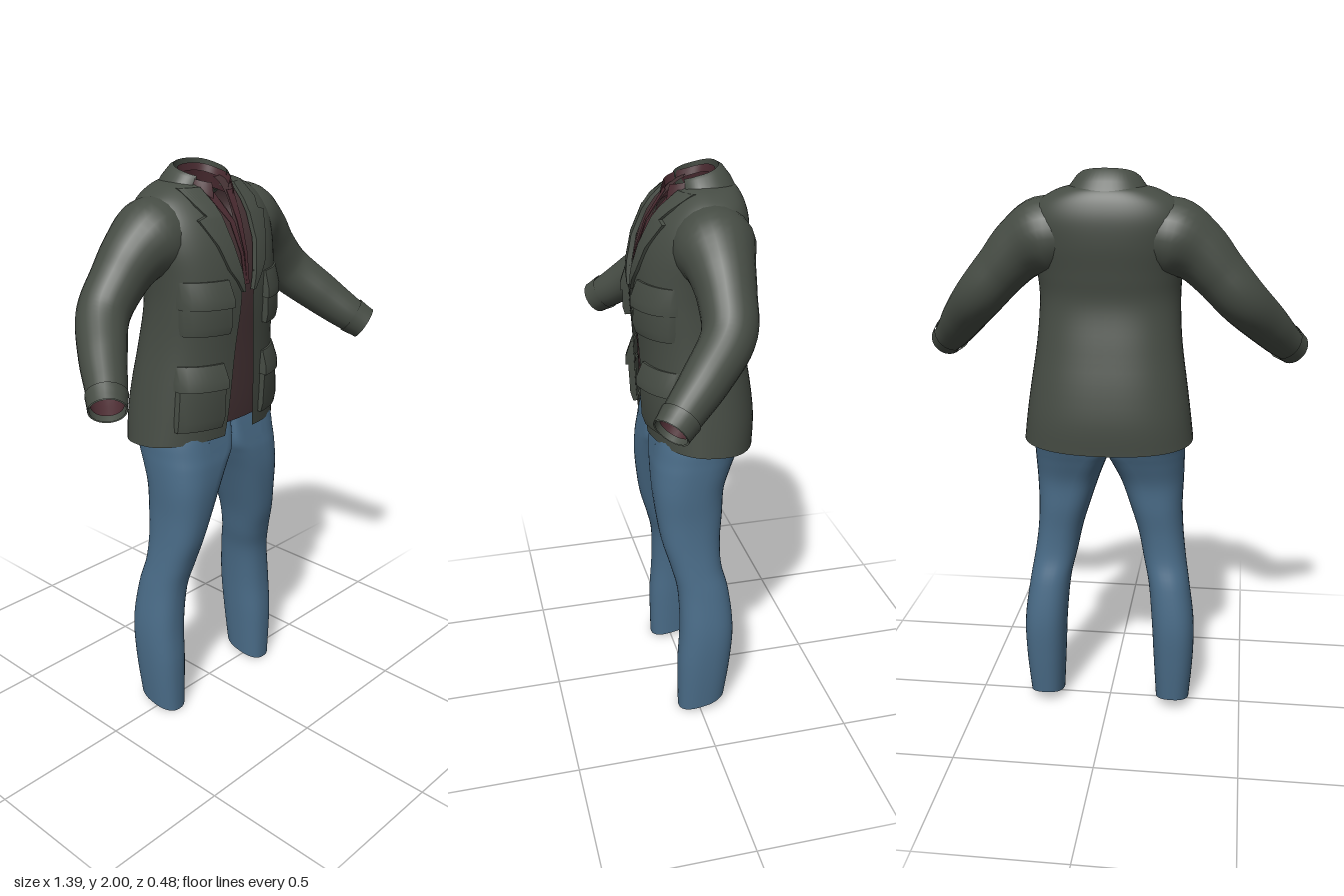
import * as THREE from 'three';
import { toCreasedNormals } from 'three/addons/utils/BufferGeometryUtils.js';

const mat = (name, color) => {
  const m = new THREE.MeshStandardMaterial({ color, side: THREE.DoubleSide });
  m.name = name;
  return m;
};

// Surface through rows of points; rows run bottom to top, points run anticlockwise.
function loft(rows, crease = 0) {
  const n = rows[0].length, index = [];
  for (let i = 0; i < rows.length - 1; i++)
    for (let j = 0; j < n - 1; j++) {
      const a = i * n + j, d = a + n;
      index.push(a, a + 1, d + 1, a, d + 1, d);
    }
  const g = new THREE.BufferGeometry().setFromPoints(rows.flat());
  g.setIndex(index);
  g.computeVertexNormals();
  // Join the normals where a ring closes on itself
  const N = g.attributes.normal, v = new THREE.Vector3(), w = new THREE.Vector3();
  rows.forEach((r, i) => {
    if (r[0].distanceTo(r[n - 1]) > 1e-5) return;
    const a = i * n, b = a + n - 1;
    v.fromBufferAttribute(N, a).add(w.fromBufferAttribute(N, b)).normalize();
    N.setXYZ(a, v.x, v.y, v.z);
    N.setXYZ(b, v.x, v.y, v.z);
  });
  return crease ? toCreasedNormals(g, crease) : g;
}

// Smooth rows between key rows, column by column.
function smooth(keys, n) {
  const cols = keys[0].map((_, c) => new THREE.SplineCurve(keys.map(k => new THREE.Vector2(k[c], 0))));
  return Array.from({ length: n + 1 }, (_, i) => cols.map(c => c.getPoint(i / n).x));
}

// Point on a rounded body section; angle 0 is the front, rising towards +x.
const P = 0.85;
function section(a, [y, hw, zf, zb, zc], pIn = P, cx = 0) {
  const s = Math.sin(a), c = Math.cos(a), p = s < 0 ? pIn : P;
  const z = Math.pow(Math.abs(c), p);
  return new THREE.Vector3(cx + hw * Math.sign(s) * Math.pow(Math.abs(s), p), y,
    c > 0 ? zc + (zf - zc) * z : zc - (zc - zb) * z);
}
function arc(a0, n, fn) {
  return Array.from({ length: n + 1 }, (_, j) => fn(a0 + (2 * Math.PI - 2 * a0) * j / n));
}
const edgeAngle = (open, hw) => Math.asin(Math.pow(Math.min(1, Math.max(0, open) / hw), 1 / P));

// y, half width, front z, back z, middle z, half opening
const jacketRows = smooth([
  [1.09, .300, .145, -.232, -.04, .07],
  [1.20, .285, .155, -.235, -.04, .06],
  [1.40, .255, .165, -.200, -.02, .045],
  [1.55, .245, .175, -.175, 0, .03],
  [1.65, .250, .175, -.185, -.01, .03],
  [1.75, .265, .155, -.200, -.03, .055],
  [1.83, .268, .120, -.202, -.05, .07],
  [1.89, .235, .075, -.190, -.06, .075],
  [1.93, .170, .030, -.170, -.06, .08],
  [1.945, .11, 0, -.145, -.06, .085],
], 54);

// Depth of the jacket front at x, y
function frontZ(x, y) {
  let i = 0;
  while (i < jacketRows.length - 2 && jacketRows[i + 1][0] < y) i++;
  const A = jacketRows[i], B = jacketRows[i + 1];
  const t = THREE.MathUtils.clamp((y - A[0]) / (B[0] - A[0]), 0, 1);
  const [, hw, zf, , zc] = A.map((v, k) => v + (B[k] - v) * t);
  const s = Math.pow(Math.min(.98, Math.abs(x) / hw), 1 / P);
  return zc + (zf - zc) * Math.pow(Math.sqrt(1 - s * s), P);
}

// Raised cloth panel lying on the jacket front; rows are [y, inner x, outer x, lift]
function panel(rows) {
  const n = 8, low = -.006;
  const line = ([y, x0, x1, lift], flat) => {
    const at = (x, l) => new THREE.Vector3(x, y, frontZ(x, y) + l);
    const pts = Array.from({ length: n + 1 }, (_, j) => at(x0 + (x1 - x0) * j / n, flat ? low : lift));
    return [at(x0, low), ...pts, at(x1, low)];
  };
  return loft([line(rows[0], true), ...rows.map(r => line(r)), line(rows[rows.length - 1], true)], .7);
}

// Sleeve centre line with radii
const armPath = new THREE.CatmullRomCurve3([
  [.12, 1.78, -.05], [.22, 1.77, -.05], [.30, 1.73, -.05], [.37, 1.66, -.05],
  [.45, 1.57, -.035], [.54, 1.47, .06], [.60, 1.40, .14], [.645, 1.355, .195],
].map(p => new THREE.Vector3(...p)));
const armRadius = new THREE.SplineCurve([.12, .135, .11, .094, .087, .077, .066, .056]
  .map(r => new THREE.Vector2(r, 0)));
function sleeve(t0, t1, grow) {
  const n = 40, frames = armPath.computeFrenetFrames(n), rows = [];
  for (let i = Math.round(t0 * n); i <= Math.round(t1 * n); i++) {
    const u = armPath.getUtoTmapping(i / n), c = armPath.getPoint(u);
    const r = armRadius.getPoint(u).x + grow;
    rows.push(arc(0, 24, a => c.clone()
      .addScaledVector(frames.normals[i], r * Math.cos(a))
      .addScaledVector(frames.binormals[i], r * Math.sin(a))));
  }
  return loft(rows);
}

export function createModel() {
  const model = new THREE.Group();
  const jacket = mat('olive jacket cloth', 0x464c44);
  const shirt = mat('maroon shirt cloth', 0x453234);
  const trim = mat('dark red trim', 0x4a2b31);
  const denim = mat('blue denim', 0x4a6c88);
  const add = (parent, name, g, m) => {
    const mesh = new THREE.Mesh(g, m);
    mesh.name = name;
    parent.add(mesh);
  };

  // Jacket body, open down the front, hem dipping at the back
  add(model, 'jacketBody', loft(jacketRows.map(r =>
    arc(edgeAngle(r[5], r[1]), 64, a => {
      const p = section(a, r);
      p.y -= .02 * (1 - Math.cos(a)) * Math.max(0, 1 - (r[0] - 1.09) / .2);
      return p;
    }))), jacket);

  // Shirt inside the jacket, with a V neck
  const shirtRows = jacketRows.filter(r => r[0] > 1.13);
  add(model, 'shirt', loft(shirtRows.map(([y, hw, zf, zb, zc]) =>
    arc(edgeAngle((y - 1.83) * .35, hw), 48, a =>
      section(a, [y, hw - .014, zf - .014, zb + .014, zc])))), shirt);

  // Collars: rings round the neck, lower at the front
  const collar = (keys, a0, tilt) => loft(keys.map(k => arc(a0, 40, a => {
    const p = section(a, k);
    p.y -= tilt * (1 + Math.cos(a)) / 2;
    return p;
  })), .9);
  add(model, 'jacketCollar', collar([
    [1.915, .158, .035, -.178, -.05],
    [1.96, .130, .035, -.155, -.045],
    [1.992, .106, .03, -.130, -.04],
    [2.0, .094, .03, -.115, -.04],
    [1.93, .096, .02, -.120, -.04],
  ], .8, .045), jacket);
  add(model, 'shirtCollar', collar([
    [1.91, .100, .075, -.120, -.03],
    [1.955, .092, .07, -.112, -.03],
    [1.985, .086, .06, -.105, -.03],
    [1.96, .080, .055, -.100, -.03],
  ], .45, .045), trim);

  // Half of the paired parts, then its mirror image
  const half = new THREE.Group();
  half.name = 'leftSide';
  add(half, 'sleeve', sleeve(0, 1, 0), jacket);
  add(half, 'cuffBand', sleeve(.92, 1, .005), jacket);
  add(half, 'shirtCuff', sleeve(.8, .98, -.006), trim);
  add(half, 'lapel', panel([
    [1.60, .02, .03, .010], [1.64, .028, .055, .012], [1.68, .036, .085, .012],
    [1.76, .055, .115, .012], [1.84, .065, .155, .012], [1.85, .065, .122, .012],
    [1.88, .07, .14, .012], [1.93, .08, .15, .012],
  ]), jacket);
  add(half, 'shirtPlacket', panel([
    [1.62, 0, .012, -.004], [1.72, .002, .016, -.004], [1.82, .006, .028, -.004], [1.91, .03, .065, -.004],
  ]), trim);
  add(half, 'chestPocket', panel([
    [1.47, .09, .225, .020], [1.50, .088, .228, .026], [1.57, .088, .228, .020],
  ]), jacket);
  add(half, 'chestPocketFlap', panel([
    [1.56, .084, .232, .028], [1.59, .084, .232, .027], [1.65, .09, .228, .008],
  ]), jacket);
  add(half, 'hipPocket', panel([
    [1.135, .10, .25, .014], [1.17, .098, .25, .022], [1.29, .098, .24, .022],
  ]), jacket);
  add(half, 'hipPocketFlap', panel([
    [1.28, .094, .245, .032], [1.31, .094, .243, .03], [1.365, .098, .235, .008],
  ]), jacket);

  // Trouser leg: y, inner x, outer x, front z, back z, inner roundness
  const legRows = smooth([
    [.045, .18, .305, .075, -.10, .85],
    [.20, .170, .318, .076, -.12, .85],
    [.35, .162, .318, .067, -.13, .85],
    [.50, .148, .298, .07, -.115, .85],
    [.60, .126, .282, .092, -.092, .85],
    [.70, .105, .27, .12, -.09, .85],
    [.80, .075, .265, .136, -.10, .8],
    [.90, .042, .268, .145, -.108, .7],
    [.98, .012, .27, .143, -.135, .5],
    [1.03, 0, .27, .136, -.155, .28],
    [1.10, 0, .268, .124, -.18, .18],
    [1.20, 0, .24, .105, -.17, .15],
  ], 55);
  add(half, 'trouserLeg', loft(legRows.map(([y, x0, x1, zf, zb, p]) =>
    arc(0, 40, a => {
      const v = section(a, [y, (x1 - x0) / 2, zf, zb, (zf + zb) / 2], p, (x0 + x1) / 2);
      v.y -= .0225 * (1 + Math.cos(a)) * Math.max(0, 1 - (y - .045) / .15);
      return v;
    }))), denim);

  const mirror = half.clone();
  mirror.name = 'rightSide';
  mirror.scale.x = -1;
  model.add(half, mirror);
  return model;
}
